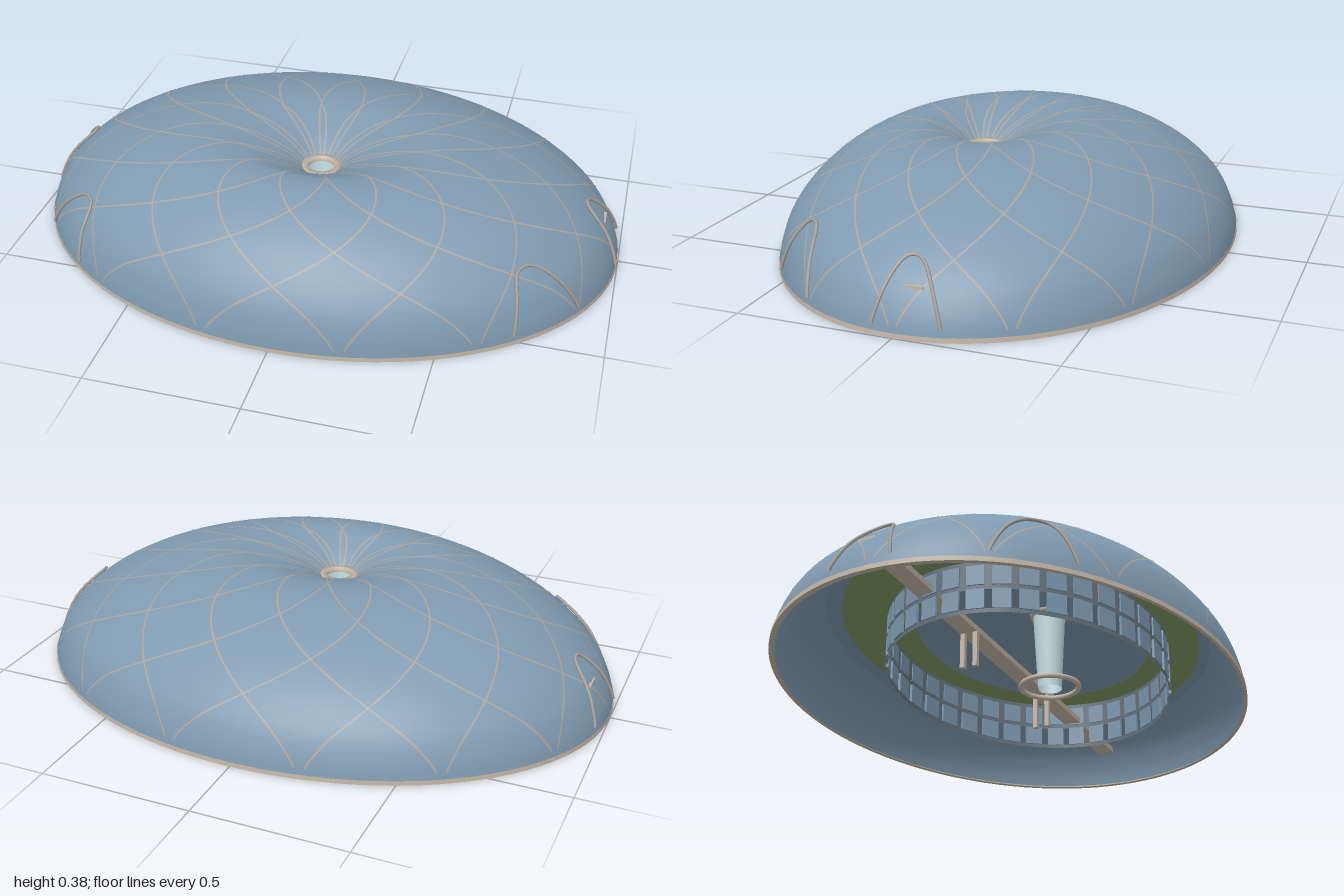
import * as THREE from 'three';

const mat = (name, color, side = THREE.DoubleSide) => {
  const m = new THREE.MeshStandardMaterial({ color, side });
  m.name = name;
  return m;
};
const RAD = Math.PI / 180, TAU = Math.PI * 2;
const OCULUS_Z = 0.115;

// Dome profile, rim to funnel: x is the scale of the plan oval, y the height
const profile = new THREE.SplineCurve([
  [0.997, 0.01], [0.982, 0.065], [0.942, 0.138], [0.87, 0.207], [0.78, 0.265], [0.68, 0.311],
  [0.57, 0.347], [0.46, 0.369], [0.37, 0.375], [0.28, 0.367], [0.2, 0.35], [0.13, 0.327],
  [0.085, 0.303], [0.06, 0.285],
].map(([r, y]) => new THREE.Vector2(r, y)));

// Plan ovals shrink toward an off-centre, round oculus
const plan = (r, a, y) => {
  const depth = 0.745 + 0.255 * Math.max(0, (0.3 - r) / 0.24);
  return new THREE.Vector3(r * Math.cos(a), y, OCULUS_Z * (1 - r) / 0.94 + r * depth * Math.sin(a));
};
const shell = (a, t) => {
  const p = profile.getPoint(t);
  return plan(p.x, a, p.y);
};
const shellNormal = (a, t) => {
  const e = 0.002;
  const da = shell(a + e, t).sub(shell(a - e, t));
  const dt = shell(a, Math.min(1, t + e)).sub(shell(a, t - e));
  const n = da.cross(dt).normalize();
  return n.y < 0 ? n.negate() : n;
};

function buildGeometry(pos, index) {
  const g = new THREE.BufferGeometry();
  g.setAttribute('position', new THREE.Float32BufferAttribute(pos, 3));
  g.setIndex(index);
  g.computeVertexNormals();
  return g;
}

// Surface closed around u, open along v; faces outward when v climbs
function loft(nu, nv, fn) {
  const pos = [], index = [];
  for (let j = 0; j <= nv; j++)
    for (let i = 0; i < nu; i++) pos.push(...fn((i / nu) * TAU, j / nv).toArray());
  for (let j = 0; j < nv; j++)
    for (let i = 0; i < nu; i++) {
      const a = j * nu + i, b = j * nu + (i + 1) % nu;
      index.push(a, a + nu, b, b, a + nu, b + nu);
    }
  return buildGeometry(pos, index);
}

// Flat strip lying just above the shell; path(s) gives [angle, profile parameter]
function shellRibbon(path, n, width) {
  const pos = [], index = [];
  for (let i = 0; i <= n; i++) {
    const here = path(i / n);
    const normal = shellNormal(...here);
    const along = shell(...path(Math.min(1, (i + 0.5) / n))).sub(shell(...path(Math.max(0, (i - 0.5) / n))));
    const side = normal.clone().cross(along).normalize().multiplyScalar(width / 2);
    const p = shell(...here).addScaledVector(normal, 0.002);
    pos.push(...p.clone().sub(side).toArray(), ...p.add(side).toArray());
    if (i < n) index.push(2 * i, 2 * i + 2, 2 * i + 1, 2 * i + 1, 2 * i + 2, 2 * i + 3);
  }
  return buildGeometry(pos, index);
}

export function createModel() {
  const model = new THREE.Group();
  const glass = mat('blue glass', 0x7f9ab0);
  const steel = mat('grey steel', 0xa8a29b, THREE.FrontSide);
  const pale = mat('pale stone', 0xc6b8a8);
  const slate = mat('slate', 0x66747f);
  const garden = mat('garden green', 0x7f9a62);
  const water = mat('water', 0xc6e0e6);

  const add = (name, geometry, material, parent = model) => {
    const m = new THREE.Mesh(geometry, material);
    m.name = name;
    parent.add(m);
    return m;
  };
  const group = (name) => {
    const g = new THREE.Group();
    g.name = name;
    model.add(g);
    return g;
  };

  // Glass shell
  add('domeShell', loft(96, 48, shell), glass);

  // Base rim: upright band and its underside
  const ring = (r0, r1, y0, y1) => loft(96, 1, (a, v) => plan(r0 + (r1 - r0) * v, a, y0 + (y1 - y0) * v));
  add('baseRim', ring(1, 0.999, 0, 0.015), pale);
  add('baseRimUnderside', ring(0.982, 1, 0, 0), pale);

  // Two mirrored families of spiral ribs
  const ribs = group('spiralRibs');
  for (let k = 0; k < 14; k++)
    for (const mirrored of [false, true])
      add('rib', shellRibbon((s) => {
        const t = 0.04 + 0.955 * s;
        const r = profile.getPoint(t).x;
        const a = (90 - 180 / 14 + (k * 360) / 14 + 57 * (1 - r * r)) * RAD;
        return [mirrored ? Math.PI - a : a, t];
      }, 72, 0.006), steel, ribs);

  // Entrance arches lying on the shell
  const arches = group('entranceArches');
  const paramAt = (y) => {
    let lo = 0, hi = 0.6;
    for (let i = 0; i < 30; i++) {
      const mid = (lo + hi) / 2;
      if (profile.getPoint(mid).y < y) lo = mid; else hi = mid;
    }
    return lo;
  };
  for (const [centre, half] of [[34.5, 9], [-3, 8]])
    for (const mirrored of [false, true]) {
      const pts = [];
      for (let i = 0; i <= 24; i++) {
        const u = -Math.cos((i / 24) * Math.PI);
        const t = paramAt(0.035 + 0.17 * (1 - Math.pow(Math.abs(u), 2.5)));
        const angle = (centre + half * u) * RAD;
        const a = mirrored ? Math.PI - angle : angle;
        pts.push(shell(a, t).addScaledVector(shellNormal(a, t), 0.006));
      }
      add('arch', new THREE.TubeGeometry(new THREE.CatmullRomCurve3(pts), 60, 0.0055, 6), steel, arches);
    }

  // Oculus collar, waterfall and pool rim
  const collar = [[0.045, 0.275], [0.064, 0.275], [0.064, 0.292], [0.045, 0.292], [0.045, 0.275]];
  add('oculusCollar', new THREE.LatheGeometry(collar.map(([x, y]) => new THREE.Vector2(x, y)), 40), pale)
    .position.z = OCULUS_Z;
  add('waterfall', new THREE.CylinderGeometry(0.055, 0.04, 0.27, 32, 1, true), water)
    .position.set(0, 0.145, OCULUS_Z);
  const pool = add('poolRim', new THREE.TorusGeometry(0.097, 0.009, 8, 40), pale);
  pool.rotation.x = Math.PI / 2;
  pool.position.set(0, 0.018, OCULUS_Z);

  // Garden terrace and its outer walkway
  add('gardenTerrace', ring(0.5, 0.765, 0.2, 0.2), garden);
  add('terraceWalkway', ring(0.765, 0.82, 0.2, 0.2), glass);

  // Inner gallery: solid upper wall, open lower frame, two rows of panes
  const gallery = group('gallery');
  add('upperWall', ring(0.6, 0.6, 0.103, 0.199), slate, gallery);
  add('footBand', ring(0.6, 0.6, 0.025, 0.039), slate, gallery);
  const panes = 36;
  for (let i = 0; i < panes; i++) {
    const a = (i / panes) * TAU;
    const width = 0.72 * (TAU / panes) * 0.6 * Math.hypot(Math.sin(a), 0.745 * Math.cos(a));
    for (const y of [0.071, 0.151]) {
      const pane = add('pane', new THREE.BoxGeometry(width, 0.066, 0.009), glass, gallery);
      pane.position.copy(plan(0.6, a, y));
      pane.rotation.y = Math.atan2(0.745 * Math.cos(a), Math.sin(a));
    }
  }

  // Rail bridge through the shell, on paired posts
  const bridge = group('bridge');
  add('bridgeBeam', new THREE.BoxGeometry(1.885, 0.02, 0.06), pale, bridge).position.set(0, 0.132, -0.043);
  for (const x of [-0.29, 0.29])
    for (const z of [-0.065, -0.02])
      add('bridgePost', new THREE.BoxGeometry(0.016, 0.122, 0.016), pale, bridge).position.set(x, 0.063, z);

  return model;
}
